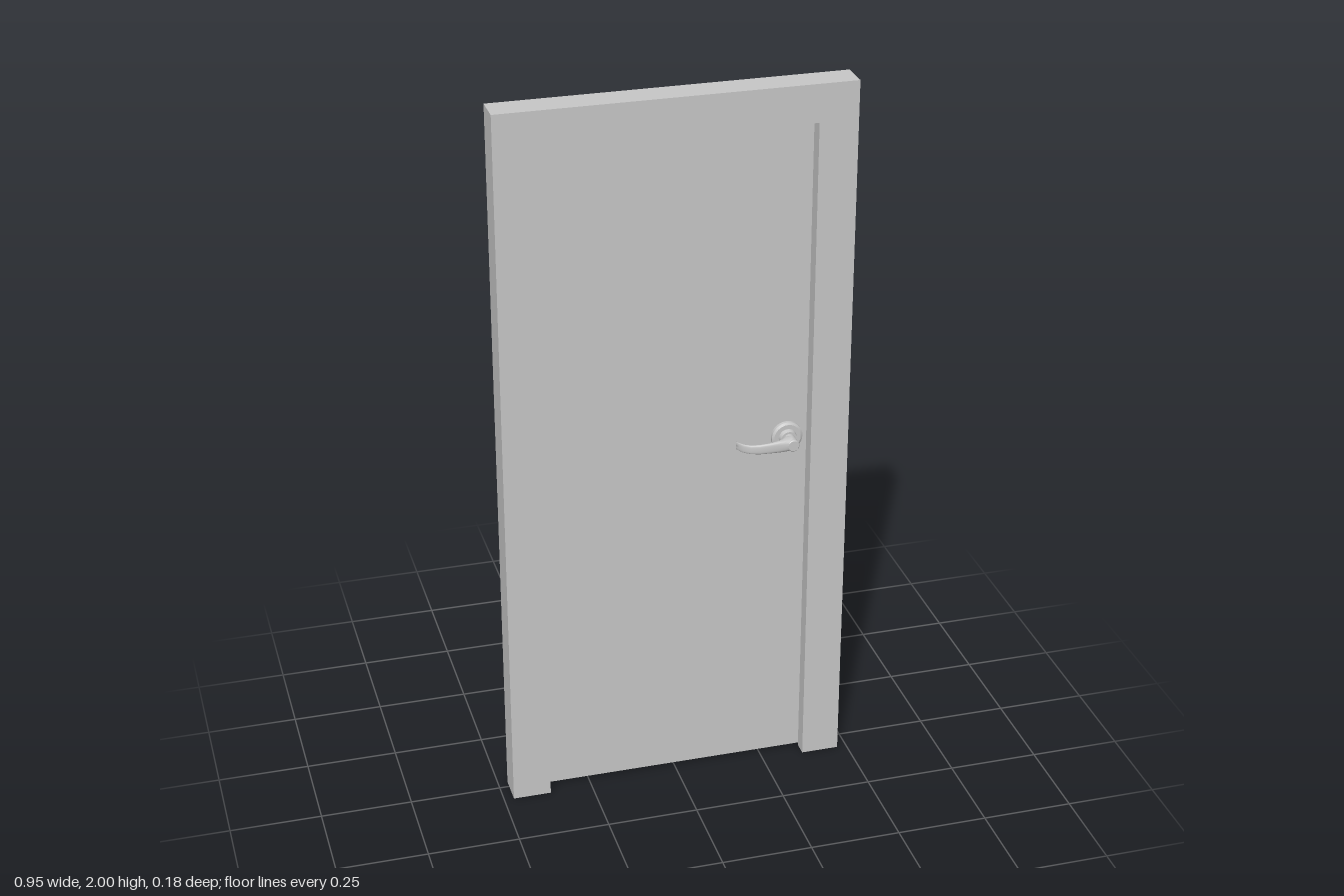
import * as THREE from 'three';

const grey = new THREE.MeshStandardMaterial({ color: 0xc7c7c7 });
grey.name = 'painted grey';

const BACK = -0.023, STOP = 0.021, FRONT = 0.061;

function add(parent, name, geometry) {
  const mesh = new THREE.Mesh(geometry, grey);
  mesh.name = name;
  parent.add(mesh);
  return mesh;
}

// Upside-down U of jambs and head, extruded from z0 to z1
function frameRing(halfOpening, openingTop, z0, z1) {
  const w = 0.473;
  const shape = new THREE.Shape([
    [-w, 0], [-halfOpening, 0], [-halfOpening, openingTop], [halfOpening, openingTop],
    [halfOpening, 0], [w, 0], [w, 2], [-w, 2],
  ].map(([x, y]) => new THREE.Vector2(x, y)));
  return new THREE.ExtrudeGeometry(shape, { depth: z1 - z0, bevelEnabled: false }).translate(0, 0, z0);
}

// Curved lever lofted from oval sections; z is the distance from the door face
function leverGeometry() {
  // x, z, half thickness, half height, y
  const sections = [
    [0.3115, 0.044, 0.0195, 0.0175, 0], [0.297, 0.0455, 0.0185, 0.0175, 0],
    [0.285, 0.0525, 0.0115, 0.017, 0], [0.268, 0.0562, 0.0072, 0.016, 0],
    [0.245, 0.0567, 0.0052, 0.0145, -0.001], [0.22, 0.0545, 0.0046, 0.0135, -0.002],
    [0.198, 0.0475, 0.004, 0.0125, -0.003], [0.182, 0.036, 0.0033, 0.012, -0.003],
    [0.173, 0.024, 0.0024, 0.0115, -0.003], [0.168, 0.012, 0.0014, 0.011, -0.003],
  ];
  const N = 20, pos = [], idx = [];
  sections.forEach(([x, z, t, h, y], i) => {
    // Only the thin part of the lever turns with its path
    const a = sections[Math.max(i - 1, 0)], b = sections[Math.min(i + 1, sections.length - 1)];
    const dir = i < 3 ? new THREE.Vector2(-1, 0) : new THREE.Vector2(b[0] - a[0], b[1] - a[1]).normalize();
    for (let j = 0; j < N; j++) {
      const ang = j / N * Math.PI * 2, c = Math.cos(ang), s = Math.sin(ang);
      const u = Math.sign(c) * Math.abs(c) ** 0.7 * t, v = Math.sign(s) * Math.abs(s) ** 0.7 * h;
      pos.push(x + dir.y * u, y + v, z - dir.x * u);
    }
  });
  const last = sections.length - 1;
  for (let i = 0; i < last; i++) {
    for (let j = 0; j < N; j++) {
      const a = i * N + j, b = i * N + (j + 1) % N;
      idx.push(a, b, a + N, b, b + N, a + N);
    }
  }
  // Tip cap
  for (let j = 1; j < N - 1; j++) idx.push(last * N, last * N + j, last * N + j + 1);
  const g = new THREE.BufferGeometry();
  g.setAttribute('position', new THREE.Float32BufferAttribute(pos, 3));
  g.setIndex(idx);
  g.computeVertexNormals();
  return g;
}

// Disc or post standing out from the door face, between z0 and z1
function post(r0, r1, z0, z1) {
  return new THREE.CylinderGeometry(r1, r0, z1 - z0, 32)
    .rotateX(Math.PI / 2).translate(0.3115, 0, (z0 + z1) / 2);
}

function createHandle(name) {
  const handle = new THREE.Group();
  handle.name = name;
  add(handle, 'rosette', post(0.043, 0.043, 0, 0.007));
  add(handle, 'rosetteBevel', post(0.043, 0.037, 0.007, 0.0105));
  add(handle, 'collar', post(0.025, 0.022, 0.0105, 0.023));
  add(handle, 'hub', post(0.0165, 0.0165, 0.023, 0.062));
  add(handle, 'hubCap', post(0.0165, 0.0145, 0.062, 0.064));
  add(handle, 'lever', leverGeometry());
  handle.position.y = 1.003;
  return handle;
}

export function createModel() {
  const door = new THREE.Group();
  door.name = 'door';

  // Frame: the front stop narrows the opening, the back rebate holds the leaf
  add(door, 'frameStop', frameRing(0.368, 1.897, STOP, FRONT));
  add(door, 'frameRebate', frameRing(0.384, 1.917, BACK, STOP));

  // Leaf, slightly proud of the frame at the back, with a gap under the head
  const leafBack = BACK - 0.001, leafFront = STOP - 0.0005;
  const leaf = new THREE.BoxGeometry(0.768, 1.904, leafFront - leafBack);
  add(door, 'leaf', leaf.translate(0, 0.96, (leafFront + leafBack) / 2));

  // Matching levers on both faces
  const front = createHandle('frontHandle');
  front.position.z = STOP + 0.002;
  const back = createHandle('backHandle');
  back.position.z = leafBack;
  back.scale.z = -1;
  // Rosette seats reach down into the leaf
  add(front, 'rosetteSeat', post(0.043, 0.043, -0.004, 0));
  door.add(front, back);

  return door;
}
